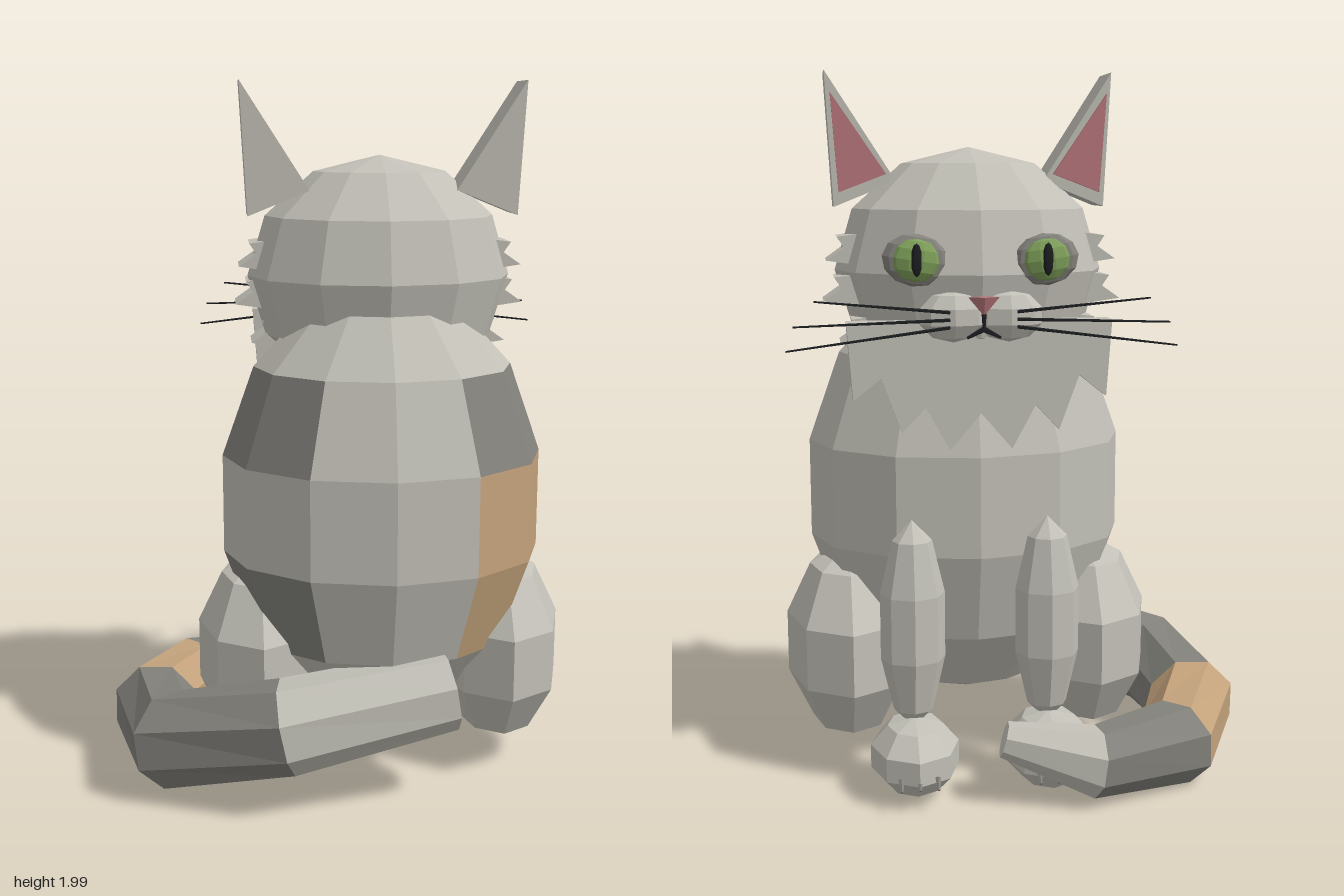
import * as THREE from 'three';

const mat = (name, color) => {
  const m = new THREE.MeshStandardMaterial({ color });
  m.name = name;
  return m;
};
const M = {
  fur: mat('light grey fur', 0xc2c0b7),
  dark: mat('dark grey fur', 0x83827c),
  tan: mat('tan fur', 0xc3a27b),
  pink: mat('pink', 0xb9787d),
  green: mat('eye green', 0x7fa05a),
  black: mat('black', 0x1c1e20),
};
const CX = 0.135; // the cat's own middle plane

export function createModel() {
  const root = new THREE.Group();
  root.name = 'sittingCat';

  const add = (name, geometry, material) => {
    const g = geometry.index ? geometry.toNonIndexed() : geometry;
    g.computeVertexNormals(); // faceted look
    const mesh = new THREE.Mesh(g, material);
    mesh.name = name;
    root.add(mesh);
    return mesh;
  };
  const ball = (name, [x, y, z], [rx, ry, rz], material, w = 8, h = 6) => {
    const mesh = add(name, new THREE.SphereGeometry(1, w, h).scale(rx, ry, rz), material);
    mesh.position.set(x, y, z);
    return mesh;
  };
  // Straight plate: outline in x/y, running from z0 to z1
  const plate = (name, pts, z0, z1, material) => {
    const shape = new THREE.Shape(pts.map(([x, y]) => new THREE.Vector2(x, y)));
    const g = new THREE.ExtrudeGeometry(shape, { depth: z1 - z0, bevelEnabled: false });
    g.clearGroups();
    return add(name, g.translate(0, 0, z0), material);
  };
  // Thin rod between two points
  const rod = (name, a, b, r, material) => {
    const p = new THREE.Vector3(...a), q = new THREE.Vector3(...b);
    const mesh = add(name, new THREE.CylinderGeometry(r * 0.5, r, p.distanceTo(q), 5), material);
    mesh.position.copy(p).add(q).multiplyScalar(0.5);
    mesh.quaternion.setFromUnitVectors(new THREE.Vector3(0, 1, 0), q.sub(p).normalize());
  };
  const sides = (fn) => [-1, 1].forEach((s) => fn(s, (u) => CX + s * u, s < 0 ? 'right' : 'left'));

  // Body with coloured patches: [row, column] -> material index
  const W = 12, H = 7;
  const bodyGeo = new THREE.SphereGeometry(1, W, H).scale(0.472, 0.64, 0.38);
  bodyGeo.clearGroups();
  const patch = (row, col) => {
    const minusSide = col < 2, plusSide = col === 4 || col === 5;
    if (row === 2 && (minusSide || plusSide)) return 1;
    if (row === 4 && minusSide) return 1;
    if ((row === 3 || row === 4) && plusSide) return 2;
    return 0;
  };
  let start = 0;
  for (let row = 0; row < H; row++) {
    for (let col = 0; col < W; col++) {
      const count = row === 0 || row === H - 1 ? 3 : 6;
      bodyGeo.addGroup(start, count, patch(row, col));
      start += count;
    }
  }
  add('body', bodyGeo, [M.fur, M.dark, M.tan]).position.set(CX, 0.81, 0.085);

  ball('head', [CX, 1.455, -0.03], [0.38, 0.34, 0.315], M.fur, 12, 6);

  sides((s, X, side) => {
    // Legs and paws
    ball(side + 'Haunch', [X(0.355), 0.355, 0.04], [0.192, 0.29, 0.292], M.fur, 8, 5);
    ball(side + 'FrontLeg', [X(0.19), 0.48, -0.26], [0.095, 0.3, 0.092], M.fur, 8, 5);
    ball(side + 'Paw', [X(0.19), 0.115, -0.29], [0.13, 0.107, 0.17], M.fur, 8, 5);
    for (const u of [-0.05, 0, 0.05]) {
      rod(side + 'Claw', [X(0.19 + u), 0.1, -0.435], [X(0.19 + u), 0.075, -0.462], 0.008, M.dark);
    }

    // Ears with pink lining
    plate(side + 'Ear', [[X(0.4), 2], [X(0.38), 1.63], [X(0.207), 1.7]], -0.07, 0.085, M.fur);
    plate(side + 'InnerEar', [[X(0.385), 1.94], [X(0.366), 1.67], [X(0.235), 1.72]], -0.085, -0.07, M.pink);

    // Eyes
    ball(side + 'EyeRim', [X(0.175), 1.495, -0.305], [0.09, 0.07, 0.028], M.dark, 10, 6).rotation.z = s * 0.15;
    ball(side + 'Iris', [X(0.175), 1.495, -0.317], [0.067, 0.058, 0.029], M.green, 10, 6).rotation.z = s * 0.15;
    ball(side + 'Pupil', [X(0.175), 1.497, -0.342], [0.015, 0.044, 0.011], M.black, 6, 6);

    // Muzzle, mouth and whiskers
    ball(side + 'Muzzle', [X(0.075), 1.345, -0.305], [0.095, 0.07, 0.058], M.fur, 8, 5);
    rod(side + 'Mouth', [X(0), 1.315, -0.362], [X(0.045), 1.292, -0.362], 0.008, M.black);
    for (const [u, y, y0] of [[0.445, 1.395, 1.36], [0.5, 1.33, 1.34], [0.52, 1.267, 1.32]]) {
      rod(side + 'Whisker', [X(0.09), y0, -0.36], [X(u), y, -0.385], 0.005, M.black);
    }

    // Cheek tufts
    for (const [y, z, u] of [[1.465, -0.12, 0.405], [1.355, -0.14, 0.415], [1.24, -0.16, 0.37]]) {
      plate(side + 'CheekTuft', [[X(u - 0.14), y + 0.1], [X(u - 0.03), y + 0.085],
        [X(u - 0.05), y + 0.055], [X(u), y + 0.02], [X(u - 0.14), y]], z, z + 0.145, M.fur);
    }

    // Forehead marks
    const mark = plate(side + 'ForeheadMark',
      [[-0.022, 0], [0, -0.045], [0.022, 0], [0, 0.045]], -0.004, 0.004, M.dark);
    mark.position.set(X(0.075), 1.685, -0.218);
    mark.rotation.x = 0.8;
    rod(side + 'ForeheadStripe', [X(0.018), 1.7, -0.215], [X(0.012), 1.73, -0.185], 0.008, M.dark);
  });

  // Nose
  const nose = add('nose', new THREE.ConeGeometry(0.042, 0.05, 4).rotateX(Math.PI), M.pink);
  nose.position.set(CX, 1.375, -0.362);
  nose.scale.z = 0.55;
  rod('mouthLine', [CX, 1.355, -0.364], [CX, 1.31, -0.364], 0.007, M.black);

  // Jagged chest ruff
  const half = [[0.36, 1.33], [0.345, 1.12], [0.27, 1.18], [0.215, 1.03], [0.15, 1.1], [0.085, 0.98]];
  plate('chestRuff', [
    ...half.map(([u, y]) => [CX - u, y]), [CX, 1.08],
    ...half.slice().reverse().map(([u, y]) => [CX + u, y]),
  ], -0.3, -0.235, M.fur);

  // Tail curling round the side: x, y, z, radius
  const path = [
    [0.3, 0.325, 0.35, 0.115], [-0.16, 0.25, 0.4, 0.135], [-0.48, 0.165, 0.265, 0.14],
    [-0.54, 0.135, -0.05, 0.132], [-0.42, 0.12, -0.33, 0.122], [-0.16, 0.12, -0.435, 0.1],
    [0.09, 0.19, -0.412, 0.05],
  ];
  const tailMats = [M.fur, M.dark, M.dark, M.tan, M.dark, M.fur];
  const N = 8;
  const centre = path.map((p) => new THREE.Vector3(p[0], p[1], p[2]));
  const rings = centre.map((c, i) => {
    const dir = (a, b) => centre[b].clone().sub(centre[a]).normalize();
    const t = new THREE.Vector3();
    if (i > 0) t.add(dir(i - 1, i));
    if (i < path.length - 1) t.add(dir(i, i + 1));
    t.normalize();
    const s = t.clone().cross(new THREE.Vector3(0, 1, 0)).normalize();
    const u = s.clone().cross(t);
    return Array.from({ length: N }, (_, j) => {
      const a = ((j + 0.5) / N) * Math.PI * 2;
      return c.clone().addScaledVector(s, Math.cos(a) * path[i][3]).addScaledVector(u, Math.sin(a) * path[i][3]);
    });
  });
  tailMats.forEach((material, i) => {
    const tris = [];
    for (let j = 0; j < N; j++) {
      const k = (j + 1) % N, A = rings[i], B = rings[i + 1];
      tris.push(A[j], B[j], A[k], A[k], B[j], B[k]);
      if (i === 0) tris.push(centre[0], A[j], A[k]);
      if (i === tailMats.length - 1) tris.push(centre[i + 1], B[k], B[j]);
    }
    add('tailSegment' + (i + 1), new THREE.BufferGeometry().setFromPoints(tris), material);
  });

  // Mirrored outlines are re-wound by the extruder, so all faces point outward
  return root;
}
